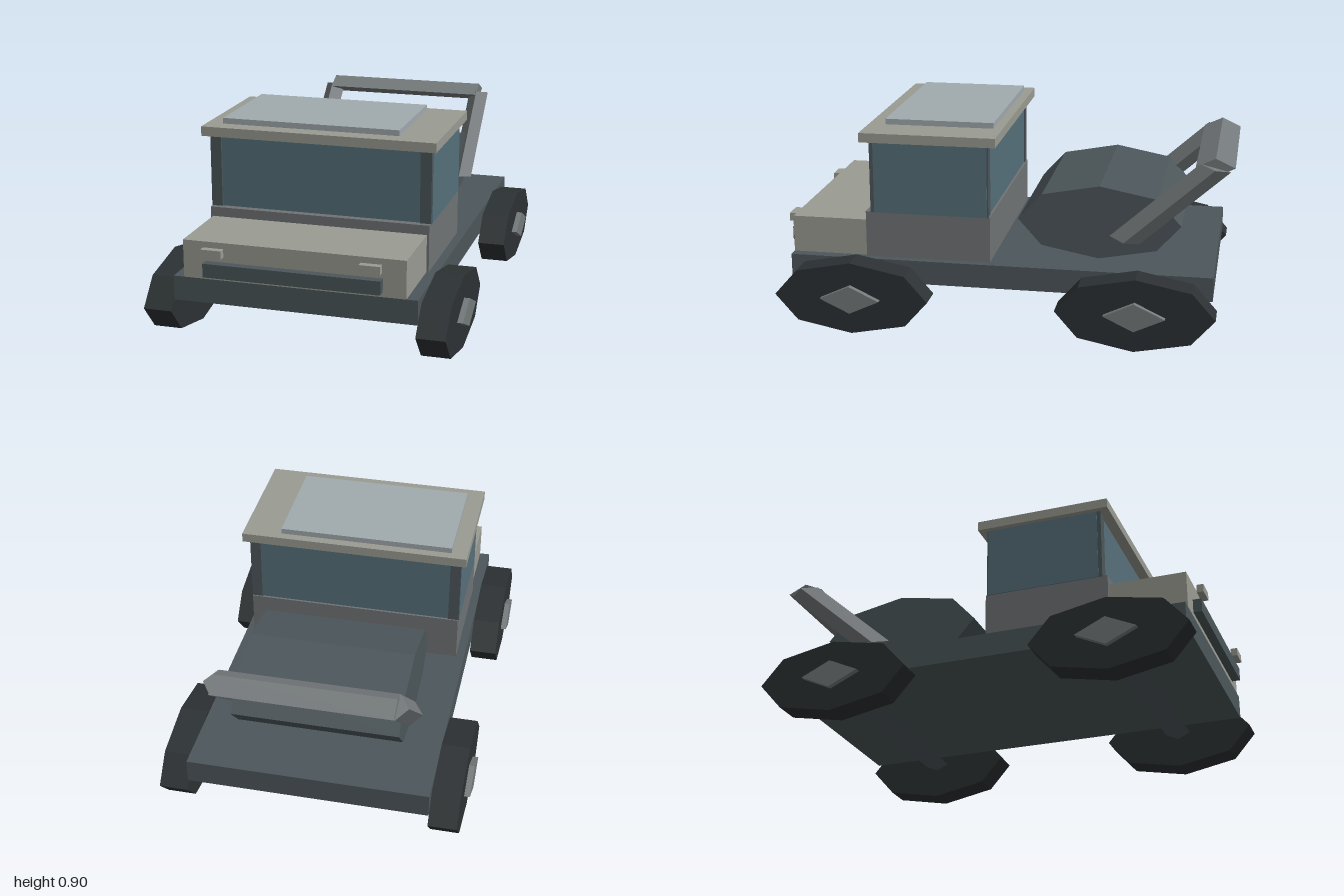
import * as THREE from 'three';

const mat = (color) => new THREE.MeshStandardMaterial({ color, flatShading: true });
const DARK = mat(0x4c565a), TYRE = mat(0x2c3133), STEEL = mat(0x74797b);
const BODY = mat(0x9a9b92), CABIN = mat(0x707375), GLASS = mat(0x56707a), PANEL = mat(0xa1aaae);
const SQUASH = 0.47; // round parts are flattened vertically

export function createModel() {
  const model = new THREE.Group();

  const add = (name, geometry, material) => {
    const mesh = new THREE.Mesh(geometry, material);
    mesh.name = name;
    model.add(mesh);
    return mesh;
  };

  // Box given by its [min, max] extents
  const box = (name, material, [x0, x1], [y0, y1], [z0, z1]) =>
    add(name, new THREE.BoxGeometry(x1 - x0, y1 - y0, z1 - z0), material)
      .position.set((x0 + x1) / 2, (y0 + y1) / 2, (z0 + z1) / 2);

  // Flattened prism lying along x, with corners on its axes
  const roller = (name, material, sides, rz, ry, [x0, x1], y, z) => {
    const g = new THREE.CylinderGeometry(1, 1, x1 - x0, sides);
    g.rotateZ(Math.PI / 2).scale(1, ry, rz);
    add(name, g, material).position.set((x0 + x1) / 2, y, z);
  };

  // Chassis and bonnet
  box('chassis', DARK, [-0.53, 0.53], [0.203, 0.31], [-0.93, 0.95]);
  box('bonnet', BODY, [-0.482, 0.482], [0.31, 0.475], [0.6, 0.95]);
  box('grille', DARK, [-0.383, 0.383], [0.33, 0.39], [0.95, 0.988]);

  // Cabin
  box('cabinBase', CABIN, [-0.492, 0.492], [0.31, 0.517], [0.05, 0.61]);
  box('windscreen', GLASS, [-0.447, 0.447], [0.515, 0.84], [0.55, 0.578]);
  box('rearWindow', GLASS, [-0.447, 0.447], [0.515, 0.84], [0.06, 0.08]);
  box('roof', BODY, [-0.52, 0.52], [0.838, 0.88], [0.02, 0.625]);
  box('roofPanel', PANEL, [-0.447, 0.343], [0.88, 0.905], [0.06, 0.55]);

  // Drum on the rear deck
  roller('drum', DARK, 8, 0.362, 0.166, [-0.37, 0.368], 0.481, -0.415);

  // Wheels and axles
  for (const z of [0.645, -0.605]) {
    roller('axle', DARK, 4, 0.058, 0.027, [-0.54, 0.54], 0.163, z);
    for (const s of [-1, 1]) {
      const span = (a, b) => (s > 0 ? [a, b] : [-b, -a]);
      roller('wheel', TYRE, 8, 0.345, 0.163, span(0.53, 0.655), 0.163, z);
      roller('hub', STEEL, 4, 0.133, 0.0625, span(0.6, 0.68), 0.163, z);
    }
  }

  // Tow frame: two slanted arms and a crossbar
  const foot = new THREE.Vector2(-0.53, 0.412), head = new THREE.Vector2(-0.915, 0.758);
  const dz = head.x - foot.x, dy = (head.y - foot.y) / SQUASH;
  for (const s of [-1, 1]) {
    const g = new THREE.CylinderGeometry(0.074, 0.074, Math.hypot(dz, dy), 4);
    g.rotateX(Math.atan2(dz, dy)).scale(0.64, SQUASH, 1);
    add('frameArm', g, STEEL)
      .position.set(s * 0.384, (foot.y + head.y) / 2, (foot.x + head.x) / 2);

    // Paired cabin and front details
    const span = (a, b) => (s > 0 ? [a, b] : [-b, -a]);
    box('sideWindow', GLASS, span(0.475, 0.496), [0.515, 0.84], [0.062, 0.57]);
    box('frontPillar', DARK, span(0.445, 0.494), [0.515, 0.84], [0.54, 0.587]);
    box('rearPillar', DARK, span(0.445, 0.494), [0.515, 0.84], [0.056, 0.1]);
    box('headlight', BODY, span(0.295, 0.385), [0.42, 0.456], [0.97, 1]);
  }
  roller('frameCrossbar', STEEL, 4, 0.085, 0.04, [-0.384, 0.384], 0.76, -0.915);

  return model;
}
